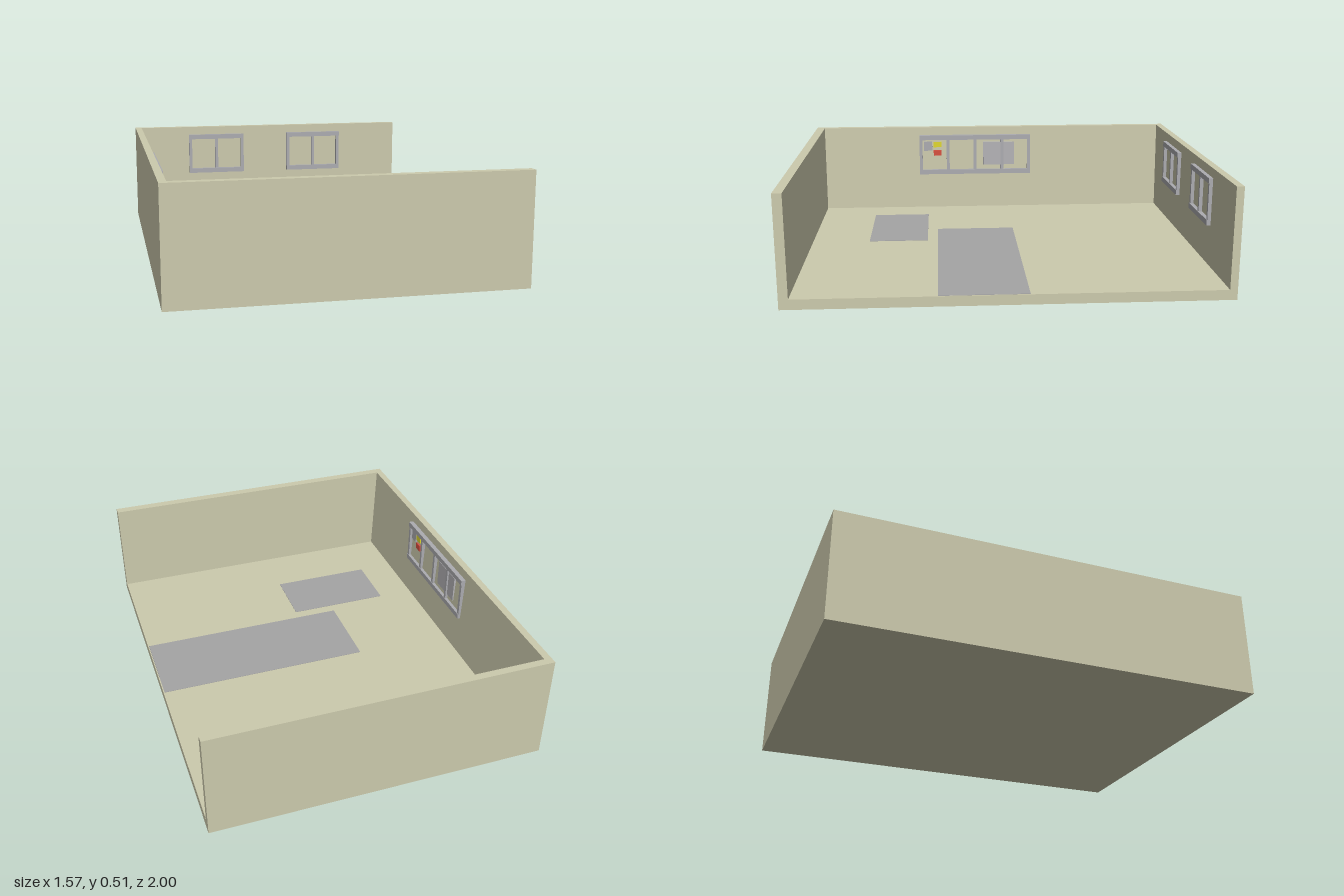
import * as THREE from 'three';

const mat = (color) => new THREE.MeshStandardMaterial({ color, flatShading: true });

export function createModel() {
  const room = new THREE.Group();
  room.name = 'room';
  const wallMat = mat(0xcccaad), rugMat = mat(0xa5a5a5), frameMat = mat(0xacacb0);
  const yellow = mat(0xe0d830), red = mat(0xd85040);

  // Box given by its minimum and maximum corners
  const box = (parent, name, [x0, y0, z0], [x1, y1, z1], material) => {
    const mesh = new THREE.Mesh(new THREE.BoxGeometry(x1 - x0, y1 - y0, z1 - z0), material);
    mesh.position.set((x0 + x1) / 2, (y0 + y1) / 2, (z0 + z1) / 2);
    mesh.name = name;
    parent.add(mesh);
    return mesh;
  };

  // Floor and the two straight walls; the left (+x) side is open
  const W = 0.785, H = 0.515, F = 0.047, back = -0.965, front = 0.957;
  box(room, 'floor', [-W, 0, -1], [W, F, 1], wallMat);
  box(room, 'frontWall', [-W, F, front], [W, H, 1], wallMat);
  box(room, 'backWall', [-W, F, -1], [W, H, back], wallMat);

  // Side wall, a little thicker at its foot
  const section = new THREE.Shape([
    new THREE.Vector2(-W, F), new THREE.Vector2(-0.733, F),
    new THREE.Vector2(-0.751, H), new THREE.Vector2(-W, H),
  ]);
  const sideGeo = new THREE.ExtrudeGeometry(section, { depth: front - back, bevelEnabled: false });
  const sideWall = new THREE.Mesh(sideGeo, wallMat);
  sideWall.position.z = back;
  sideWall.name = 'sideWall';
  room.add(sideWall);

  // Rugs lying flush on the floor
  box(room, 'largeRug', [-0.253, F - 0.01, -0.085], [0.78, F + 0.002, 0.317], rugMat);
  box(room, 'smallRug', [-0.555, F - 0.01, 0.37], [-0.05, F + 0.002, 0.668], rugMat);

  // Window frame facing +z: two rails and evenly spaced stiles
  const makeWindow = (name, width, panes, depth) => {
    const g = new THREE.Group();
    g.name = name;
    const y0 = 0.243, y1 = 0.47, rail = 0.026, stile = 0.017, h = width / 2;
    box(g, 'bottomRail', [-h, y0, 0], [h, y0 + rail, depth], frameMat);
    box(g, 'topRail', [-h, y1 - rail, 0], [h, y1, depth], frameMat);
    for (let i = 0; i <= panes; i++) {
      const x = -h + (i / panes) * (width - stile);
      box(g, 'stile', [x, y0 + rail, 0], [x + stile, y1 - rail, depth - 0.003], frameMat);
    }
    room.add(g);
    return g;
  };

  // Two windows on the back wall
  for (const x of [-0.314, 0.274]) {
    makeWindow('backWindow', 0.325, 2, 0.02).position.set(x, 0, back);
  }

  // Four-pane window on the side wall
  const sideWindow = makeWindow('sideWindow', 0.64, 4, 0.026);
  sideWindow.rotation.y = Math.PI / 2;
  sideWindow.position.set(-0.752, 0, 0.098);

  // Notices and a poster behind the side window's frame
  const notice = (name, z0, z1, y0, y1, m) => box(room, name, [-0.76, y0, z0], [-0.737, y1, z1], m);
  notice('greyNotice', 0.345, 0.393, 0.38, 0.433, frameMat);
  notice('yellowNotice', 0.291, 0.337, 0.4, 0.43, yellow);
  notice('redNotice', 0.291, 0.337, 0.35, 0.382, red);
  notice('poster', -0.13, 0.05, 0.294, 0.427, mat(0xb4b3b6));

  return room;
}
